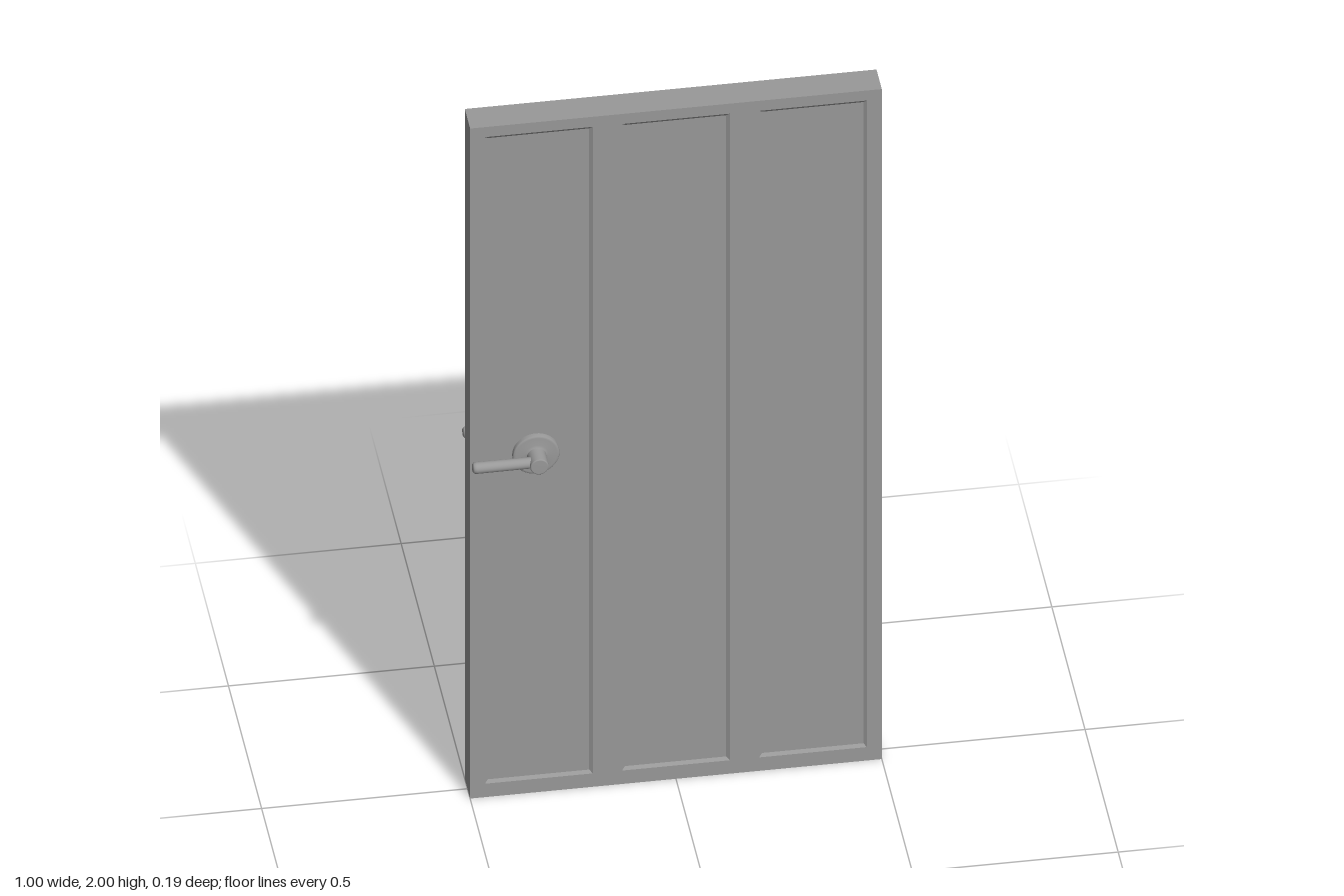
import * as THREE from 'three';

const W = 1, H = 2, HALF = 0.04;      // door width, height, half thickness
const DEPTH = 0.006, BEVEL = 0.008;   // panel recess
const Y0 = 0.04, Y1 = 1.97;           // panel bottom and top
const PANELS = [-0.333, 0, 0.333], PANEL_W = 0.262;

// Rectangle as a closed outline, usable as a shape or hole
function rect(x0, y0, x1, y1, Type = THREE.Shape) {
  const s = new Type();
  s.moveTo(x0, y0);
  s.lineTo(x1, y0);
  s.lineTo(x1, y1);
  s.lineTo(x0, y1);
  s.closePath();
  return s;
}

// Sunken panel with four sloping borders, front face towards +z
function sunkenPanel(cx) {
  const a = PANEL_W / 2, b = a - BEVEL;
  const ring = (h, y0, y1, z) => [[cx - h, y0, z], [cx + h, y0, z], [cx + h, y1, z], [cx - h, y1, z]];
  const outer = ring(a, Y0, Y1, HALF), inner = ring(b, Y0 + BEVEL, Y1 - BEVEL, HALF - DEPTH);
  const pos = [];
  const quad = (p, q, r, s) => pos.push(...p, ...q, ...r, ...p, ...r, ...s);
  quad(...inner);
  for (let i = 0; i < 4; i++) {
    const j = (i + 1) % 4;
    quad(outer[i], outer[j], inner[j], inner[i]);
  }
  const g = new THREE.BufferGeometry();
  g.setAttribute('position', new THREE.Float32BufferAttribute(pos, 3));
  g.computeVertexNormals();
  return g;
}

export function createModel() {
  const model = new THREE.Group();
  model.name = 'door';
  const grey = new THREE.MeshStandardMaterial({ color: 0x999999 });
  grey.name = 'grey';
  const add = (parent, name, geometry) => {
    const m = new THREE.Mesh(geometry, grey);
    m.name = name;
    parent.add(m);
    return m;
  };

  // Door frame with three through openings, closed by the sunken panels
  const outline = rect(-W / 2, 0, W / 2, H);
  for (const x of PANELS) {
    outline.holes.push(rect(x - PANEL_W / 2, Y0, x + PANEL_W / 2, Y1, THREE.Path));
  }
  const frame = new THREE.ExtrudeGeometry(outline, { depth: 2 * HALF, bevelEnabled: false });
  frame.translate(0, 0, -HALF);
  add(model, 'doorFrame', frame);

  for (const side of ['front', 'back']) {
    const back = side === 'back';
    const face = new THREE.Group();
    face.name = side + 'Face';
    if (back) face.rotation.y = Math.PI;
    model.add(face);
    PANELS.forEach((x, i) => add(face, 'panel' + (i + 1), sunkenPanel(x)));

    // Handle set: rosette, neck and lever pointing to the door edge
    const dir = back ? 1 : -1;
    const handle = new THREE.Group();
    handle.name = side + 'Handle';
    handle.position.set(dir * 0.34, 1.01, 0);
    face.add(handle);

    const rosetteProfile = [[0.057, 0.03], [0.057, 0.042], [0.055, 0.045], [0.05, 0.046], [0.03, 0.047], [0.024, 0.05]];
    const rosette = new THREE.LatheGeometry(rosetteProfile.map(p => new THREE.Vector2(...p)), 40);
    add(handle, 'rosette', rosette.rotateX(Math.PI / 2));

    const neckProfile = [[0.024, 0.044], [0.0225, 0.06], [0.0225, 0.092], [0.0215, 0.0945], [0.019, 0.095], [0, 0.095]];
    const neck = new THREE.LatheGeometry(neckProfile.map(p => new THREE.Vector2(...p)), 32);
    add(handle, 'neck', neck.rotateX(Math.PI / 2));

    const leverProfile = [[0.014, 0], [0.0145, 0.15], [0.0135, 0.156], [0.01, 0.1595], [0, 0.16]];
    const lever = new THREE.LatheGeometry(leverProfile.map(p => new THREE.Vector2(...p)), 24);
    lever.rotateZ(-dir * Math.PI / 2).translate(0, 0, 0.073);
    add(handle, 'lever', lever);
  }
  return model;
}
